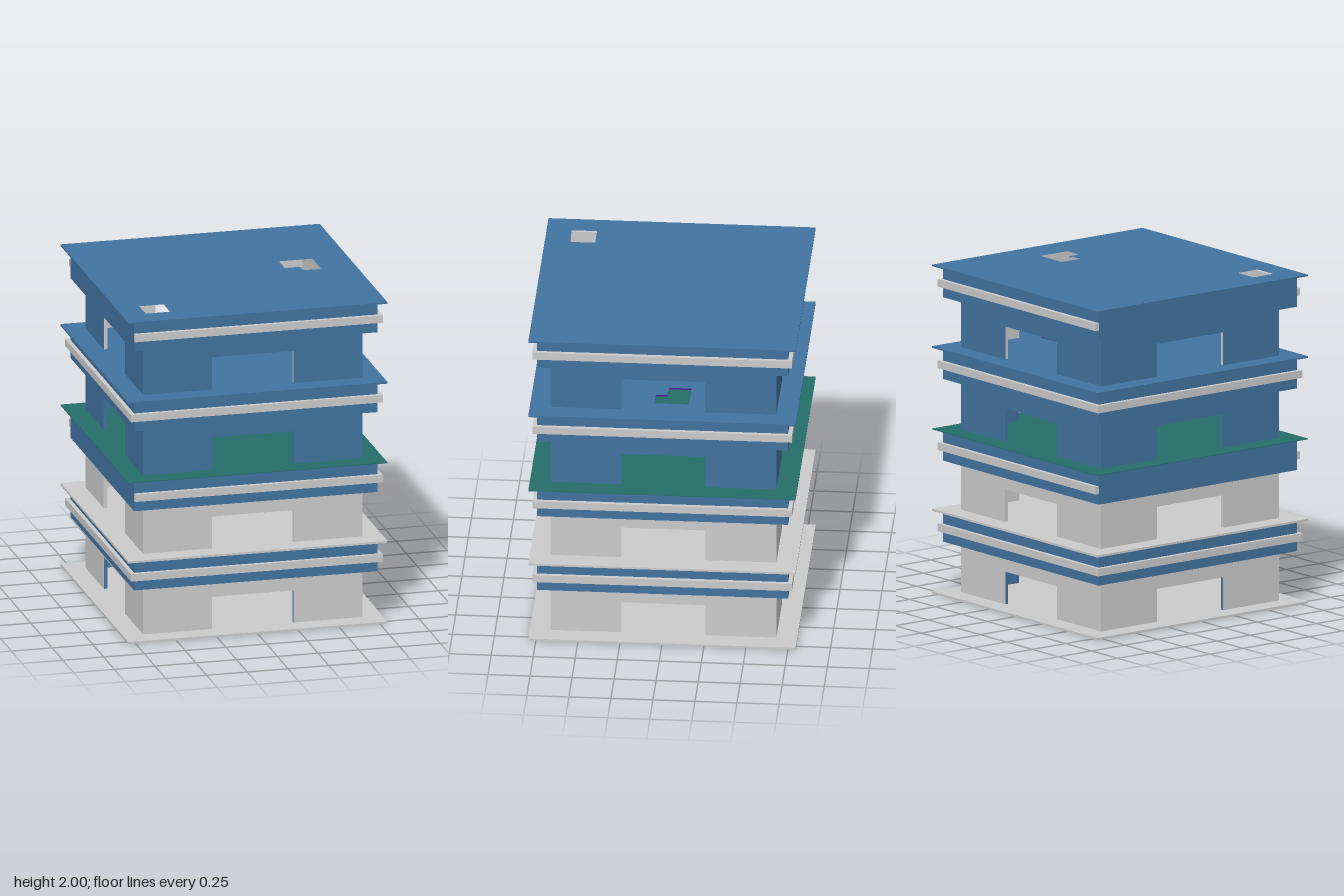
import * as THREE from 'three';

const paint = (c) => new THREE.MeshStandardMaterial({ color: c });
const grey = paint(0xcccccc), blue = paint(0x4173a0), green = paint(0x256e69), purple = paint(0x4f148f);

const SLAB = 0.795, WALL = 0.672, BAND = 0.747, TRIM = 0.772, DOOR = 0.25, INNER = 0.65;

// Floor openings as [x, z] corners
const square = (r) => [[-r, -r], [r, -r], [r, r], [-r, r]];
const liftHole = [[-0.65, 0.495], [-0.5, 0.495], [-0.5, 0.645], [-0.65, 0.645]];
const stairHole = [[0.375, -0.145], [0.58, -0.145], [0.58, 0.06], [0.47, 0.06], [0.47, -0.01], [0.375, -0.01]];

function add(parent, name, geometry, material) {
  const mesh = new THREE.Mesh(geometry, material);
  mesh.name = name;
  parent.add(mesh);
  return mesh;
}

// Horizontal plate from y0 to y1 with cut-outs
function plate(half, y0, y1, holes = []) {
  const points = (list) => list.map(([x, z]) => new THREE.Vector2(x, -z));
  const shape = new THREE.Shape(points(square(half)));
  holes.forEach((h) => shape.holes.push(new THREE.Path(points(h))));
  return new THREE.ExtrudeGeometry(shape, { depth: y1 - y0, bevelEnabled: false })
    .rotateX(-Math.PI / 2).translate(0, y0, 0);
}

// Four upright panels, each with a doorway open at the floor
function walls(parent, name, half, depth, y0, y1, doorTop, material) {
  const shape = new THREE.Shape([
    [-half, y0], [-DOOR, y0], [-DOOR, doorTop], [DOOR, doorTop],
    [DOOR, y0], [half, y0], [half, y1], [-half, y1],
  ].map(([x, y]) => new THREE.Vector2(x, y)));
  const panel = new THREE.ExtrudeGeometry(shape, { depth, bevelEnabled: false }).translate(0, 0, half - depth);
  for (let i = 0; i < 4; i++) add(parent, name, panel, material).rotation.y = i * Math.PI / 2;
}

// Narrow rails round the band; the right-hand rail can be left out
function trim(parent, y0, y1, hasRight) {
  const t = TRIM - BAND, h = y1 - y0, y = (y0 + y1) / 2;
  const left = hasRight ? -TRIM : -BAND;
  for (const s of [-1, 1]) {
    add(parent, 'trimRail', new THREE.BoxGeometry(TRIM - left, h, t), grey)
      .position.set((TRIM + left) / 2, y, s * (BAND + t / 2));
    if (s === 1 || hasRight) {
      add(parent, 'trimRail', new THREE.BoxGeometry(t, h, 2 * BAND), grey)
        .position.set(s * (BAND + t / 2), y, 0);
    }
  }
}

export function createModel() {
  const model = new THREE.Group();
  model.name = 'building';

  // Storeys: floor level, door top, band bottom, ceiling level, trim bottom
  const storeys = [
    { y: 0.013, door: 0.213, band: 0.316, top: 0.502, trim: 0.38, skin: grey, lining: blue, right: true },
    { y: 0.515, door: 0.713, band: 0.809, top: 0.998, trim: 0.874, skin: grey, lining: grey, right: false },
    { y: 1.003, door: 1.205, band: 1.306, top: 1.494, trim: 1.372, skin: blue, lining: blue, right: true },
    { y: 1.504, door: 1.704, band: 1.803, top: 1.991, trim: 1.868, skin: blue, lining: grey, right: false },
  ];
  storeys.forEach((s, i) => {
    const storey = new THREE.Group();
    storey.name = `storey${i + 1}`;
    walls(storey, 'outerWall', WALL, 0.003, s.y, s.top, s.door, s.skin);
    walls(storey, 'wallLining', WALL - 0.003, WALL - 0.003 - INNER, s.y, s.top, s.door, s.lining);
    add(storey, 'band', plate(BAND, s.band, s.top, [square(WALL)]), blue);
    trim(storey, s.trim, s.trim + 0.046, s.right);
    model.add(storey);
  });

  // Floor slabs and roof
  add(model, 'baseSlab', plate(SLAB, 0, 0.013), grey);
  add(model, 'firstFloorSlab', plate(SLAB, 0.502, 0.515, [liftHole]), grey);
  add(model, 'secondFloorSlab', plate(SLAB, 0.998, 1.0, [liftHole]), blue);
  add(model, 'secondFloorCovering', plate(SLAB, 1.0, 1.003, [liftHole]), green);
  add(model, 'thirdFloorSlab', plate(SLAB, 1.494, 1.504, [liftHole, stairHole]), blue);
  add(model, 'ceilingPanel', plate(INNER, 1.491, 1.494, [liftHole, stairHole].map((h) =>
    h.map(([x, z]) => [Math.max(x, -0.649), z]))), purple);
  add(model, 'roof', plate(SLAB, 1.991, 2, [liftHole, stairHole]), blue);
  return model;
}
